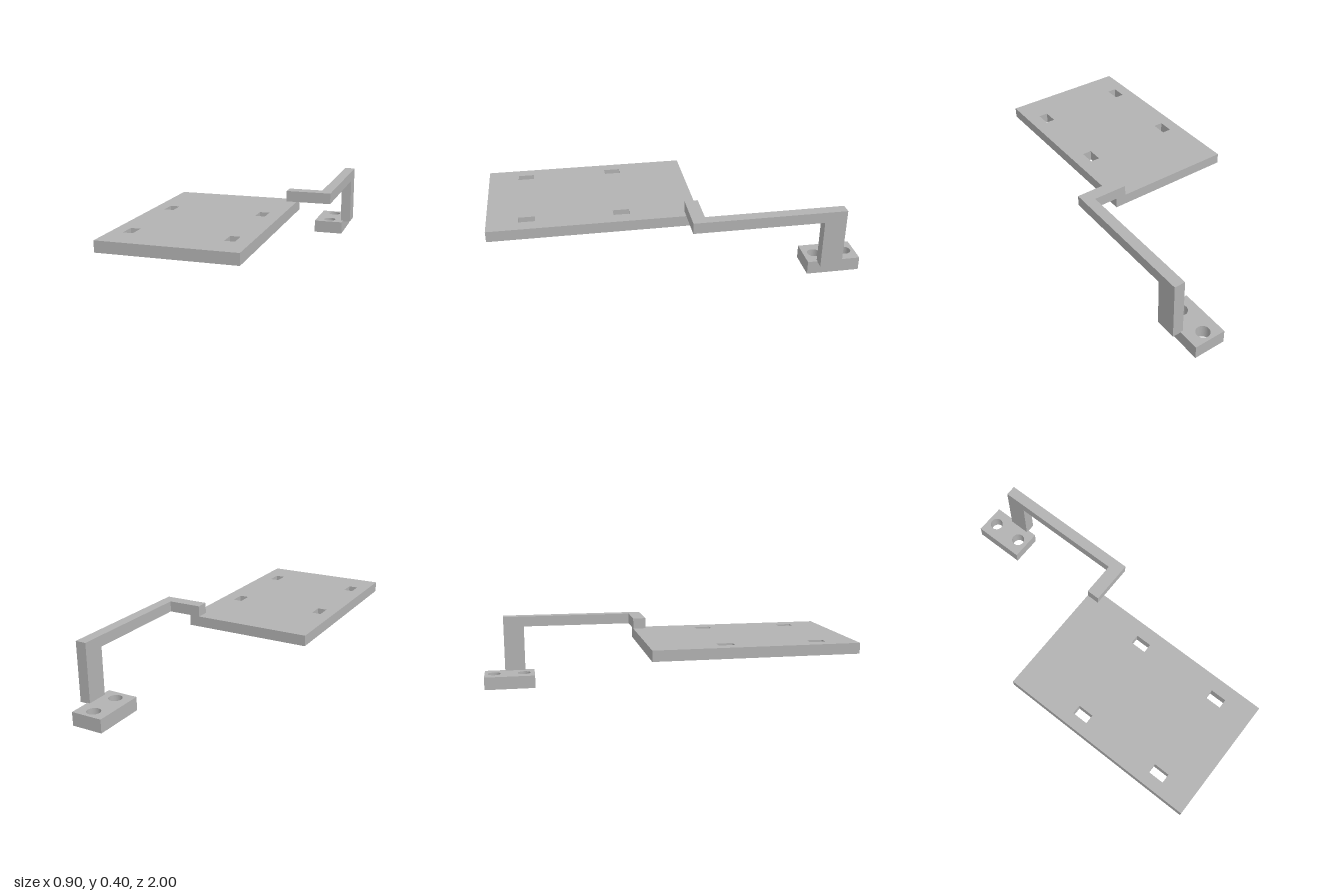
import * as THREE from 'three';

// Closed outline from plan points [x, z]
const outline = (pts, Kind) => new Kind(pts.map(([x, z]) => new THREE.Vector2(x, -z)));
const rect = (x0, x1, z0, z1) => [[x0, z1], [x1, z1], [x1, z0], [x0, z0]];

export function createModel() {
  const group = new THREE.Group();
  const grey = new THREE.MeshStandardMaterial({ color: 0xb2b2b2 });
  grey.name = 'plain grey';

  // Extrudes a plan outline upwards from y0 to y1
  function slab(name, pts, y0, y1, holes = []) {
    const shape = outline(pts, THREE.Shape);
    shape.holes.push(...holes);
    const geo = new THREE.ExtrudeGeometry(shape, { depth: y1 - y0, bevelEnabled: false, curveSegments: 32 });
    geo.rotateX(-Math.PI / 2).translate(0, y0, 0);
    const mesh = new THREE.Mesh(geo, grey);
    mesh.name = name;
    group.add(mesh);
  }

  // Mounting plate with four rectangular slots
  const slots = [];
  for (const x of [-0.357, 0.155])
    for (const z of [0.284, 0.788])
      slots.push(outline(rect(x - 0.026, x + 0.026, z - 0.044, z + 0.044), THREE.Path));
  slab('mountingPlate', rect(-0.45, 0.258, -0.126, 1), 0.282, 0.341, slots);

  // L-shaped arm resting on the plate corner
  slab('arm', [[0.2, -0.054], [0.45, -0.054], [0.45, -0.88], [0.39, -0.88], [0.39, -0.126], [0.2, -0.126]], 0.341, 0.401);

  // Post dropping from the arm to the foot
  slab('post', rect(0.39, 0.45, -0.88, -0.76), 0.07, 0.341);

  // Foot block with two round bolt holes
  const bolts = [-0.943, -0.768].map((z) => new THREE.Path().absarc(0.316, -z, 0.037, 0, Math.PI * 2, true));
  slab('footBlock', rect(0.229, 0.405, -1, -0.706), 0, 0.075, bolts);

  return group;
}
